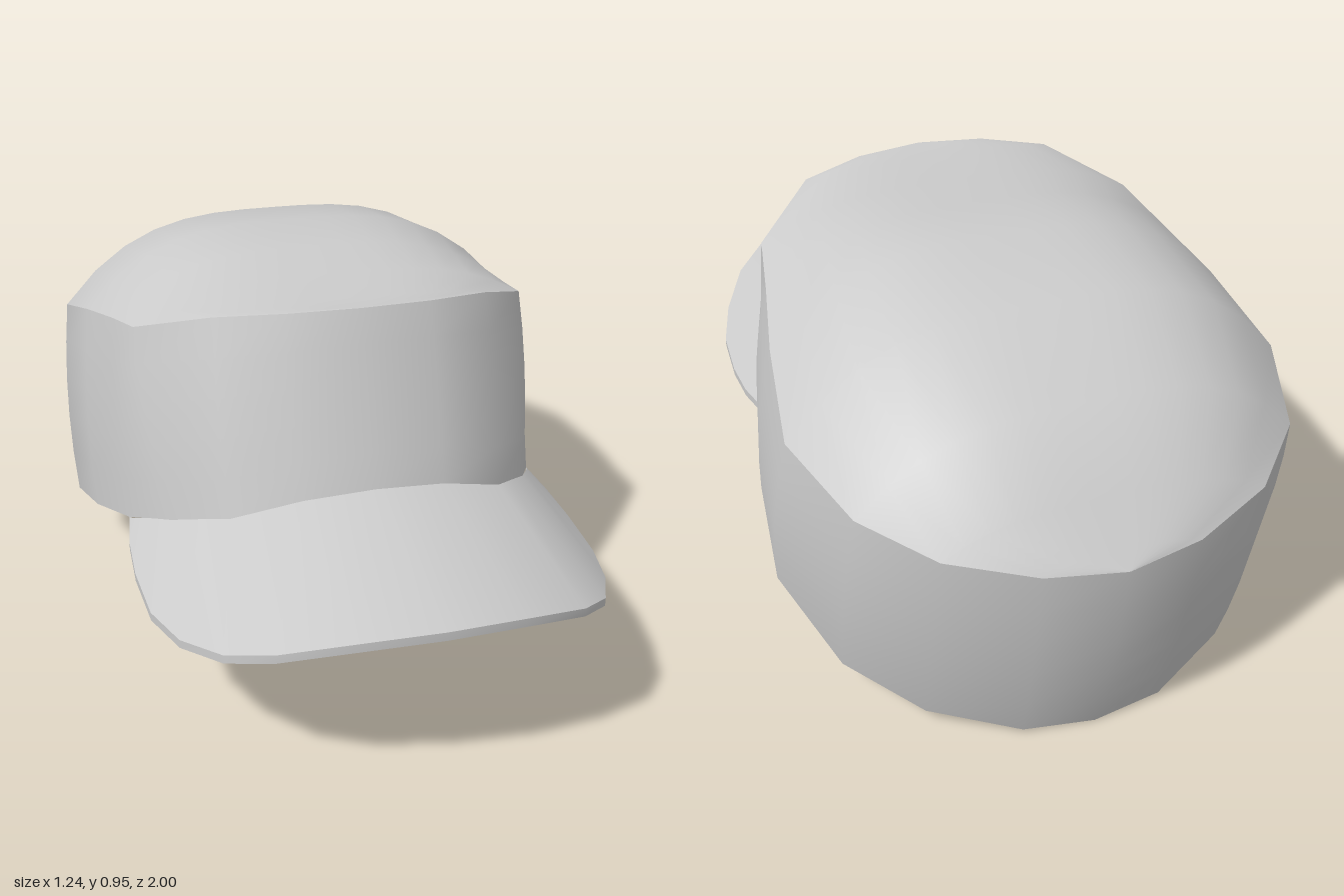
import * as THREE from 'three';

const V = (x, y, z) => new THREE.Vector3(x, y, z);

// Half outlines from the front centre round the left side: [x, y, z]
const topEdge = [
  [0, 0.915, 0.37], [0.17, 0.91, 0.35], [0.33, 0.895, 0.29], [0.49, 0.825, 0.12],
  [0.52, 0.79, -0.05], [0.56, 0.745, -0.25], [0.593, 0.67, -0.51], [0.51, 0.62, -0.75],
  [0.37, 0.58, -0.89], [0.18, 0.55, -0.97], [0, 0.54, -1],
];
const bottomEdge = [
  [0, 0.52, 0.505], [0.17, 0.505, 0.49], [0.33, 0.455, 0.44], [0.45, 0.4, 0.31],
  [0.53, 0.335, 0.15], [0.585, 0.25, -0.1], [0.61, 0.172, -0.36], [0.52, 0.09, -0.61],
  [0.37, 0.042, -0.77], [0.17, 0.01, -0.87], [0, 0, -0.89],
];
const visorOuter = [
  [0, 0.445, 1], [0.18, 0.435, 0.98], [0.34, 0.4, 0.925], [0.43, 0.36, 0.84], [0.5, 0.32, 0.7],
  [0.54, 0.303, 0.55], [0.55, 0.308, 0.38], [0.545, 0.32, 0.25], [0.53, 0.335, 0.15],
];
const visorInner = [
  [0, 0.52, 0.505], [0.17, 0.505, 0.49], [0.33, 0.455, 0.44], [0.39, 0.428, 0.375], [0.45, 0.4, 0.31],
  [0.485, 0.375, 0.245], [0.51, 0.355, 0.2], [0.525, 0.342, 0.17], [0.53, 0.335, 0.15],
];

// Full ring from a half outline
const ring = (half) => [
  ...half.map((p) => V(...p)),
  ...half.slice(1, -1).reverse().map(([x, y, z]) => V(-x, y, z)),
];
// Open strip from the right side over the centre to the left side
const strip = (half, drop = 0) => [
  ...half.slice(1).reverse().map(([x, y, z]) => V(-x, y - drop, z)),
  ...half.map(([x, y, z]) => V(x, y - drop, z)),
];

// Smooth surface through rows of points
function loft(name, rows, closed) {
  const n = rows[0].length;
  const index = [];
  for (let r = 0; r < rows.length - 1; r++) {
    for (let c = 0; c < (closed ? n : n - 1); c++) {
      const d = (c + 1) % n;
      const a = r * n + c, b = r * n + d, up = a + n, upB = b + n;
      index.push(a, b, upB, a, upB, up);
    }
  }
  const geo = new THREE.BufferGeometry().setFromPoints(rows.flat());
  geo.setIndex(index);
  geo.computeVertexNormals();
  const mat = new THREE.MeshStandardMaterial({ color: 0xcccccc, side: THREE.DoubleSide });
  const mesh = new THREE.Mesh(geo, mat);
  mesh.name = name;
  return mesh;
}

// Ring of the crown wall at height t (0 bottom, 1 top), bulging at the sides and back
function wallRing(t, inset = 0) {
  const low = ring(bottomEdge), high = ring(topEdge);
  return low.map((p, i) => {
    const q = p.clone().lerp(high[i], t);
    const bulge = 1 + 0.1 * t * (1 - t);
    const k = 1 - inset * (1 - t);
    q.x *= bulge * k;
    const mid = -0.2 - 0.12 * t;
    if (q.z < mid) q.z = mid + (q.z - mid) * bulge;
    q.z = mid + (q.z - mid) * k;
    return q;
  });
}

// Height of the dome along its centre line
const ridge = [[0.37, 0.915], [0.22, 0.905], [0, 0.93], [-0.3, 0.95], [-0.56, 0.895], [-0.75, 0.8], [-1, 0.54]];
function ridgeHeight(z) {
  const i = Math.max(1, ridge.findIndex(([rz]) => rz <= z));
  const [z0, y0] = ridge[i - 1], [z1, y1] = ridge[i];
  return y0 + (y1 - y0) * (z0 - z) / (z0 - z1);
}

export function createModel() {
  const cap = new THREE.Group();
  cap.name = 'cap';

  // Crown wall, rim and lining
  const steps = [0, 0.2, 0.4, 0.6, 0.8, 1];
  cap.add(loft('crownWall', steps.map((t) => wallRing(t)), true));
  cap.add(loft('crownRim', [wallRing(0, 0.06), wallRing(0)], true));
  cap.add(loft('crownLining', steps.slice().reverse().map((t) => wallRing(t, 0.06)), true));

  // Domed top panel
  const cols = 14;
  const domeRows = topEdge.map(([x, y, z]) => {
    const row = [];
    for (let c = 0; c <= cols; c++) {
      const s = (c / cols) * 2 - 1;
      const rise = (ridgeHeight(z) - y) * (1 - Math.abs(s) ** 3.2);
      row.push(V(s * Math.max(x, 0.004), y + rise, z));
    }
    return row;
  });
  cap.add(loft('topPanel', domeRows, false));

  // Visor: top, underside and thin front edge
  const visor = new THREE.Group();
  visor.name = 'visor';
  const thick = 0.02;
  visor.add(loft('visorTop', [strip(visorOuter), strip(visorInner)], false));
  visor.add(loft('visorUnderside', [strip(visorInner, thick), strip(visorOuter, thick)], false));
  visor.add(loft('visorEdge', [strip(visorOuter, thick), strip(visorOuter)], false));
  cap.add(visor);

  return cap;
}
